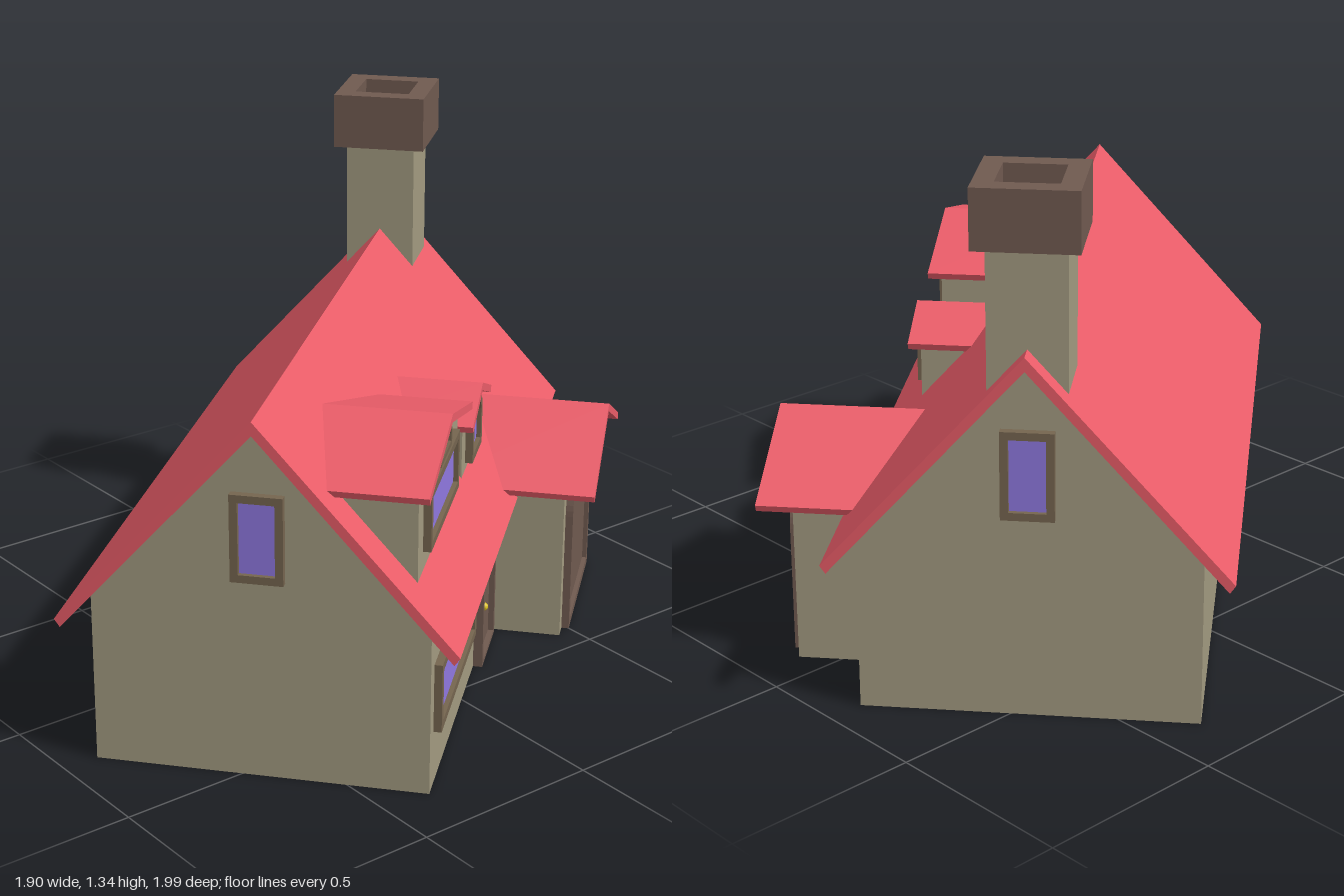
import * as THREE from 'three';

const mat = (color) => new THREE.MeshStandardMaterial({ color, flatShading: true });
const WALL = mat(0xa29a80), ROOF = mat(0xe95c68), BROWN = mat(0x705a50);
const FRAME = mat(0x75654f), GLASS = mat(0x8f78e0), GOLD = mat(0xd8c020);

function add(parent, name, geometry, material, x = 0, y = 0, z = 0) {
  const mesh = new THREE.Mesh(geometry, material);
  mesh.name = name;
  mesh.position.set(x, y, z);
  parent.add(mesh);
  return mesh;
}

const polygon = (points) => new THREE.Shape(points.map(([x, y]) => new THREE.Vector2(x, y)));

// Extrudes an outline from z = back to z = front
function prism(shape, back, front) {
  const g = new THREE.ExtrudeGeometry(shape, { depth: front - back, bevelEnabled: false, curveSegments: 6 });
  return g.translate(0, 0, back);
}

// Five-sided gable wall outline
const gable = (w, bottom, eave, peak) =>
  polygon([[-w, bottom], [w, bottom], [w, eave], [0, peak], [-w, eave]]);

// Bent roof slab outline; its eaves are cut slightly inwards
const chevron = (w, eave, peak, drop, cut, thick) =>
  polygon([[w, eave], [0, peak], [-w, eave], [cut - w, eave - drop], [0, peak - thick], [w - cut, eave - drop]]);

// Rectangle standing on y = bottom, with rounded top corners
function archOutline(target, w, bottom, top, r) {
  target.moveTo(-w, bottom);
  target.lineTo(w, bottom);
  target.lineTo(w, top - r);
  if (r) target.absarc(w - r, top - r, r, 0, Math.PI / 2, false);
  else target.lineTo(w, top);
  target.lineTo(r - w, top);
  if (r) target.absarc(r - w, top - r, r, Math.PI / 2, Math.PI, false);
  target.lineTo(-w, bottom);
  return target;
}

// Raised frame around a recessed panel, facing +z
function opening(parent, name, { w, h, r = 0, t = 0.02, depth = 0.02, frame = FRAME, panel = GLASS, sill = t }) {
  const group = new THREE.Group();
  group.name = name;
  const ring = archOutline(new THREE.Shape(), w / 2, 0, h, r);
  ring.holes.push(archOutline(new THREE.Path(), w / 2 - t, sill, h - t, Math.max(0, r - t)));
  add(group, name + 'Frame', prism(ring, -0.01, depth), frame);
  const fill = archOutline(new THREE.Shape(), w / 2 - t / 2, sill / 2, h - t / 2, Math.max(0, r - t / 2));
  add(group, name + 'Panel', prism(fill, -0.01, depth * 0.4), panel);
  parent.add(group);
  return group;
}

// Small gabled volume with its own roof, growing out of the main house
function annex(parent, name, o) {
  const group = new THREE.Group();
  group.name = name;
  group.position.x = o.x;
  const slope = (o.peak - o.eave) / o.roofW;
  const under = o.peak - 0.02;
  add(group, name + 'Walls', prism(gable(o.wallW, o.bottom, under - slope * o.wallW, under), o.back, o.wallZ), WALL);
  add(group, name + 'Roof', prism(chevron(o.roofW, o.eave, o.peak, 0.018, 0.008, 0.022), o.back, o.roofZ), ROOF);
  parent.add(group);
  return group;
}

export function createModel() {
  const model = new THREE.Group();
  model.name = 'cottage';
  // The house stands turned on its plot; its facade faces local +z
  const house = new THREE.Group();
  house.name = 'house';
  house.rotation.y = THREE.MathUtils.degToRad(130);
  model.add(house);

  // Main body and roof, with the ridge along local x
  add(house, 'mainWalls', prism(gable(0.417, 0, 0.45, 0.915), -0.833, 0.833).rotateY(Math.PI / 2), WALL);
  add(house, 'mainRoof', prism(chevron(0.494, 0.4, 0.95, 0.02, 0.014, 0.035), -0.887, 0.887).rotateY(Math.PI / 2), ROOF);

  // Chimney with an open cap
  add(house, 'chimneyStack', new THREE.BoxGeometry(0.192, 0.41, 0.192), WALL, 0.737, 0.995, 0);
  const square = (s) => [[-s, -s], [s, -s], [s, s], [-s, s]];
  const cap = polygon(square(0.1275));
  cap.holes.push(polygon(square(0.076)));
  add(house, 'chimneyCap', prism(cap, 0, 0.15).rotateX(-Math.PI / 2), BROWN, 0.737, 1.192, 0);

  // Gable windows at both ends
  for (const side of [-1, 1]) {
    const win = opening(house, 'gableWindow', { w: 0.13, h: 0.225 });
    win.position.set(side * 0.833, 0.525, 0);
    win.rotation.y = side * Math.PI / 2;
  }

  // Facade window
  opening(house, 'facadeWindow', { w: 0.535, h: 0.18, t: 0.022 }).position.set(-0.52, 0.145, 0.417);

  // Entrance door with knob
  const door = opening(house, 'frontDoor', { w: 0.215, h: 0.335, t: 0.018, depth: 0.025, frame: BROWN, panel: BROWN, sill: 0.012 });
  door.position.set(-0.053, 0, 0.417);
  add(door, 'doorKnob', new THREE.SphereGeometry(0.011, 10, 8), GOLD, -0.078, 0.165, 0.022);

  // Garage wing with arched door
  const garage = annex(house, 'garage', {
    x: 0.337, wallW: 0.269, bottom: 0, wallZ: 0.62, roofW: 0.313, eave: 0.438, peak: 0.585, roofZ: 0.704, back: 0.25,
  });
  opening(garage, 'garageDoor', { w: 0.444, h: 0.455, r: 0.12, t: 0.022, frame: BROWN, panel: BROWN })
    .position.z = 0.62;

  // Large dormer with a wide window and a small attic light
  const large = annex(house, 'largeDormer', {
    x: -0.507, wallW: 0.277, bottom: 0.51, wallZ: 0.373, roofW: 0.317, eave: 0.768, peak: 0.857, roofZ: 0.405, back: 0.06,
  });
  opening(large, 'largeDormerWindow', { w: 0.405, h: 0.155 }).position.set(-0.008, 0.585, 0.373);
  opening(large, 'atticLight', { w: 0.157, h: 0.07, r: 0.04, t: 0.013 }).position.set(-0.008, 0.75, 0.373);

  // Small dormer with an arched window
  const small = annex(house, 'smallDormer', {
    x: -0.013, wallW: 0.134, bottom: 0.51, wallZ: 0.373, roofW: 0.158, eave: 0.688, peak: 0.753, roofZ: 0.404, back: 0.14,
  });
  opening(small, 'smallDormerWindow', { w: 0.155, h: 0.155, r: 0.055 }).position.set(0, 0.555, 0.373);

  return model;
}
